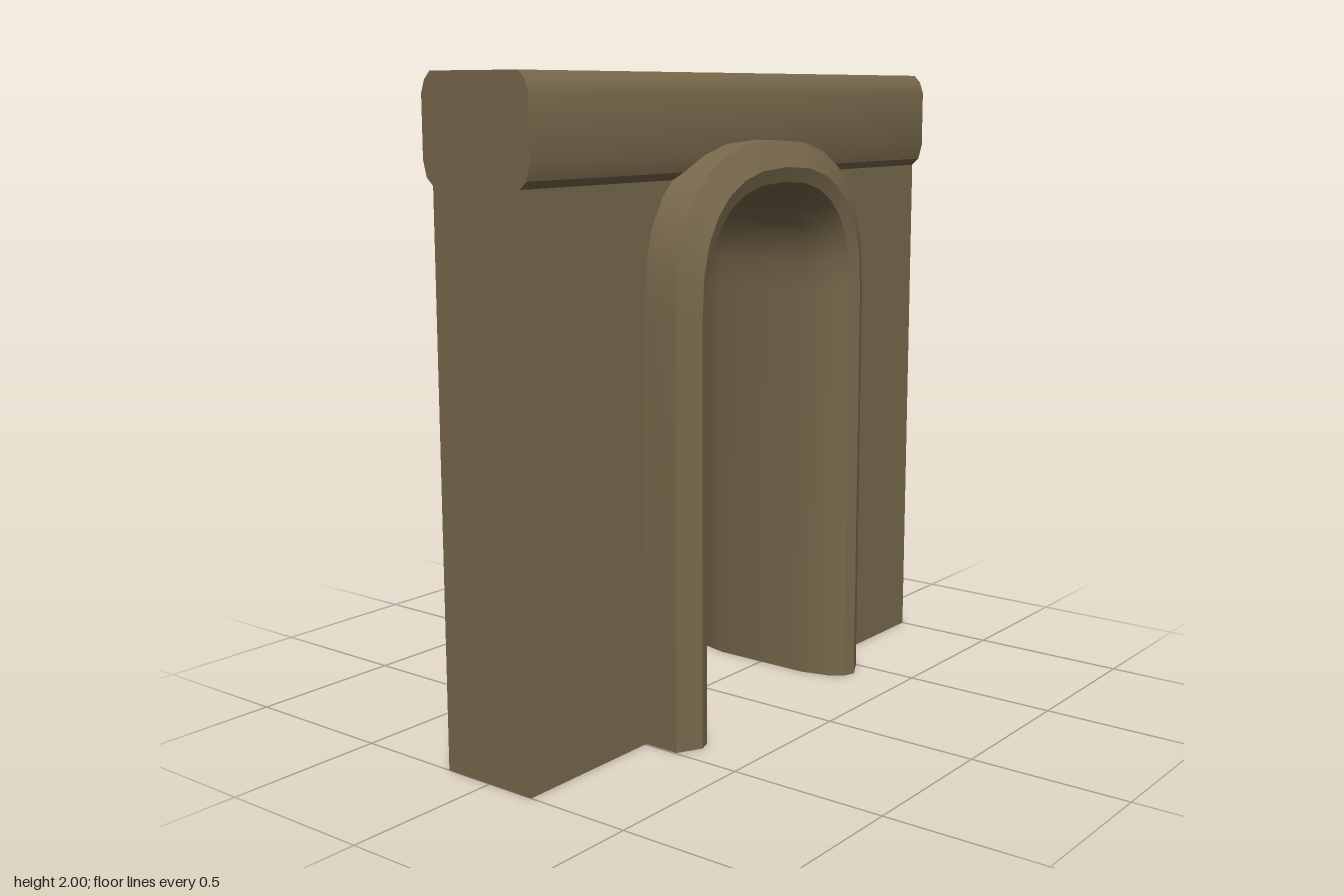
import * as THREE from 'three';
import { toCreasedNormals } from 'three/addons/utils/BufferGeometryUtils.js';

const SPRING = 1.3; // height where the straight jambs turn into the arch

// Flattened arch outline, from the -x foot over the crown to the +x foot
function archPath(halfWidth, top, steps = 14) {
  const pts = [new THREE.Vector2(-halfWidth, 0)];
  for (let i = 0; i <= steps; i++) {
    const a = Math.PI * (1 - i / steps);
    const c = Math.cos(a), s = Math.max(0, Math.sin(a));
    pts.push(new THREE.Vector2(
      halfWidth * Math.sign(c) * Math.abs(c) ** 0.8,
      SPRING + (top - SPRING) * (i === 0 || i === steps ? 0 : s ** 0.8)));
  }
  pts.push(new THREE.Vector2(halfWidth, 0));
  return pts;
}

// Surface swept through one arch outline per section point [halfWidth, top, z]
function sweepArch(section) {
  const rails = section.map(([w, t]) => archPath(w, t));
  const n = section.length, rows = rails[0].length;
  const pos = [], idx = [];
  for (let i = 0; i < rows; i++) {
    section.forEach(([, , z], j) => pos.push(rails[j][i].x, rails[j][i].y, z));
  }
  for (let i = 0; i < rows - 1; i++) {
    for (let j = 0; j < n - 1; j++) {
      const a = i * n + j, b = a + 1, c = a + n, d = c + 1;
      idx.push(a, b, c, b, d, c);
    }
  }
  const g = new THREE.BufferGeometry();
  g.setAttribute('position', new THREE.Float32BufferAttribute(pos, 3));
  g.setIndex(idx);
  return toCreasedNormals(g, 0.55);
}

export function createModel() {
  const group = new THREE.Group();
  const stone = new THREE.MeshStandardMaterial({ color: 0x78694c });
  stone.name = 'brown stone';
  const add = (name, geometry) => {
    const mesh = new THREE.Mesh(geometry, stone);
    mesh.name = name;
    group.add(mesh);
    return mesh;
  };

  // Wall slab with the doorway cut out
  const outline = [[1, 0], [1, 1.75], [-1, 1.75], [-1, 0]].map(p => new THREE.Vector2(...p));
  const wallShape = new THREE.Shape([...outline, ...archPath(0.4, 1.7)]);
  const wall = new THREE.ExtrudeGeometry(wallShape, { depth: 0.326, bevelEnabled: false });
  wall.translate(0, 0, -0.163);
  add('wall', wall);

  // Top beam: rounded profile in z and y, run along x
  const half = [[0.163, 1.69], [0.187, 1.712], [0.2, 1.76], [0.2, 1.94], [0.187, 1.977], [0.165, 2]];
  const profile = [...half, ...half.map(([z, y]) => [-z, y]).reverse()];
  const beam = new THREE.ExtrudeGeometry(
    new THREE.Shape(profile.map(p => new THREE.Vector2(...p))), { depth: 2, bevelEnabled: false });
  beam.translate(0, 0, -1).rotateY(Math.PI / 2);
  add('topBeam', toCreasedNormals(beam, 0.5));

  // Door frame: chamfered outside, softly rounded inside
  const front = [[0.495, 1.8, 0.15], [0.495, 1.8, 0.28], [0.42, 1.72, 0.32],
    [0.38, 1.675, 0.306], [0.348, 1.648, 0.26], [0.325, 1.63, 0.17]];
  const section = [...front, ...front.map(([w, t, z]) => [w, t, -z]).reverse()];
  add('doorFrame', sweepArch(section));

  // Undersides of the two frame feet
  for (const side of [1, -1]) {
    const foot = new THREE.Shape(section.map(([w, , z]) => new THREE.Vector2(side * w, z)));
    add(side > 0 ? 'leftFrameFoot' : 'rightFrameFoot',
      new THREE.ShapeGeometry(foot).rotateX(Math.PI / 2));
  }
  return group;
}
